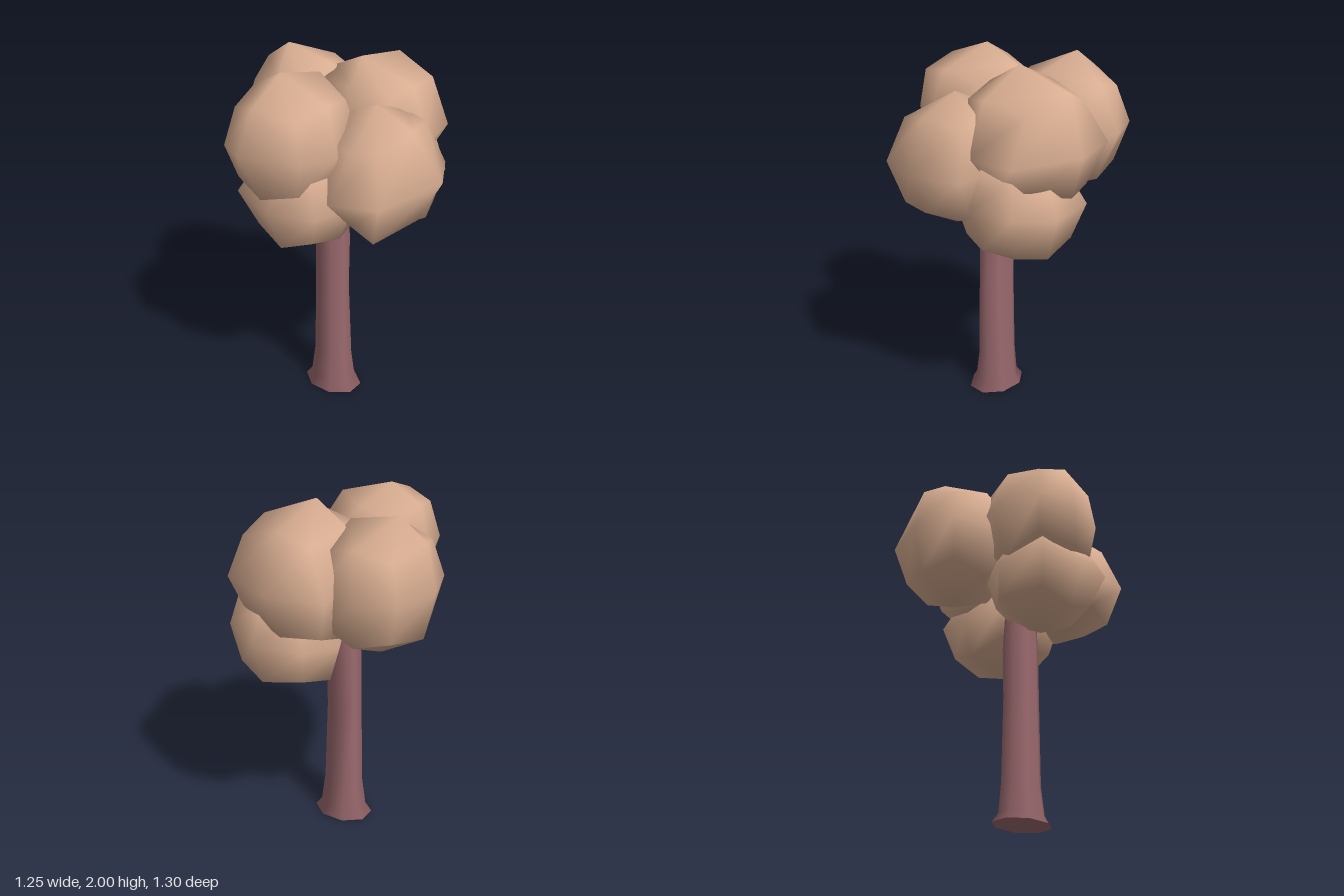
import * as THREE from 'three';
import { mergeVertices } from 'three/addons/utils/BufferGeometryUtils.js';

const foliage = new THREE.MeshStandardMaterial({ color: 0xd9ae92 });
foliage.name = 'foliage';
const bark = new THREE.MeshStandardMaterial({ color: 0x9d6b70 });
bark.name = 'bark';

// Lumpy leaf ball: a cube split once per side and rounded to an ellipsoid.
// Each lump [sx, sy, sz, x, y, z] moves the vertex on that side of the cube.
function leafBall(name, center, radii, lumps) {
  const box = new THREE.BoxGeometry(2, 2, 2, 2, 2, 2);
  box.deleteAttribute('normal');
  box.deleteAttribute('uv');
  const geo = mergeVertices(box);
  const pos = geo.attributes.position;
  const v = new THREE.Vector3();
  for (let i = 0; i < pos.count; i++) {
    v.fromBufferAttribute(pos, i).round();
    const lump = lumps.find(([x, y, z]) => x === v.x && y === v.y && z === v.z);
    if (lump) v.fromArray(lump, 3);
    else v.normalize().multiply(new THREE.Vector3(...radii)).add(new THREE.Vector3(...center));
    pos.setXYZ(i, v.x, v.y, v.z);
  }
  geo.computeVertexNormals();
  const mesh = new THREE.Mesh(geo, foliage);
  mesh.name = name;
  return mesh;
}

// Slightly bent, oval trunk with a flared foot
function trunk() {
  // each ring: height, centre x, half width in x, half depth in z, bulge at the back left
  const rings = [
    [0, -0.053, 0.127, 0.163, 1],
    [0.05, -0.053, 0.103, 0.127, 1],
    [0.22, -0.053, 0.083, 0.107, 1.3],
    [0.7, -0.061, 0.067, 0.097, 1.8],
    [1.0, -0.055, 0.074, 0.096, 1.7],
    [1.4, -0.05, 0.066, 0.08, 1],
  ];
  const last = rings.length - 1;
  const r = 1 / Math.cos(Math.PI / 8);
  const geo = new THREE.CylinderGeometry(r, r, last, 8, last, false, Math.PI / 8);
  const pos = geo.attributes.position;
  for (let i = 0; i < pos.count; i++) {
    const [y, cx, rx, rz, bulge] = rings[Math.round(pos.getY(i) + last / 2)];
    let x = pos.getX(i);
    let z = pos.getZ(i);
    if (x > 0.01 && z < -0.01) {
      if (x < -z) x *= bulge;
      else z *= bulge;
    }
    pos.setXYZ(i, cx + x * rx, y, -0.005 + z * rz);
  }
  const mesh = new THREE.Mesh(geo, bark);
  mesh.name = 'trunk';
  return mesh;
}

export function createModel() {
  const tree = new THREE.Group();
  tree.name = 'tree';
  const crown = new THREE.Group();
  crown.name = 'crown';
  crown.add(
    leafBall('upperRightFoliage', [-0.29, 1.66, -0.09], [0.35, 0.34, 0.34], [
      [-1, 0, 0, -0.63, 1.67, -0.16],
      [0, 1, 0, -0.28, 2.0, -0.16],
      [-1, 1, 0, -0.54, 1.9, -0.13],
      [1, 1, 0, -0.01, 1.93, -0.12],
      [-1, -1, 0, -0.56, 1.42, -0.08],
      [-1, 0, -1, -0.54, 1.65, -0.33],
      [0, 0, -1, -0.25, 1.65, -0.415],
      [1, 0, -1, -0.09, 1.66, -0.35],
      [-1, 0, 1, -0.51, 1.65, 0.14],
      [0, 0, 1, -0.33, 1.65, 0.23],
      [0, -1, -1, -0.29, 1.39, -0.33],
    ]),
    leafBall('upperLeftFoliage', [0.25, 1.64, 0.08], [0.36, 0.36, 0.35], [
      [0, 1, 0, 0.16, 2.0, 0.03],
      [1, 1, 0, 0.51, 1.925, 0.03],
      [1, 0, 0, 0.62, 1.62, 0.05],
      [1, 0, -1, 0.53, 1.61, -0.25],
      [1, 0, 1, 0.46, 1.6, 0.39],
      [0, 0, 1, 0.2, 1.6, 0.43],
      [0, 1, 1, 0.2, 1.88, 0.33],
      [0, 1, -1, 0.2, 1.89, -0.18],
      [-1, 1, -1, 0.04, 1.86, -0.17],
      [0, 0, -1, 0.2, 1.62, -0.26],
      [0, -1, -1, 0.25, 1.3, -0.18],
      [1, -1, 0, 0.53, 1.37, 0.02],
      [1, -1, -1, 0.45, 1.37, -0.18],
      [-1, 0, 1, 0.0, 1.65, 0.26],
    ]),
    leafBall('backFoliage', [0.14, 1.6, -0.33], [0.36, 0.37, 0.33], [
      [0, 0, -1, 0.13, 1.62, -0.65],
      [-1, 0, -1, -0.12, 1.61, -0.57],
      [1, 0, -1, 0.4, 1.61, -0.58],
      [0, 1, -1, 0.13, 1.87, -0.59],
      [0, -1, -1, 0.13, 1.35, -0.59],
      [1, 0, 0, 0.5, 1.61, -0.37],
      [0, 1, 0, 0.13, 1.98, -0.44],
      [0, -1, 0, 0.14, 1.22, -0.35],
      [0, 1, 1, 0.14, 1.92, -0.16],
    ]),
    leafBall('frontFoliage', [-0.07, 1.525, 0.3], [0.34, 0.34, 0.34], [
      [0, 0, 1, 0.0, 1.51, 0.65],
      [-1, 0, 1, -0.36, 1.46, 0.51],
      [0, 1, 1, -0.06, 1.775, 0.5],
      [1, 0, 1, 0.235, 1.5, 0.52],
      [0, -1, 1, -0.03, 1.27, 0.53],
      [-1, 0, 0, -0.4, 1.42, 0.22],
      [0, 1, 0, -0.06, 1.865, 0.28],
      [0, -1, 0, 0.02, 1.18, 0.35],
      [-1, 1, 0, -0.31, 1.69, 0.3],
      [-1, 1, 1, -0.28, 1.71, 0.44],
      [1, 1, 1, 0.16, 1.74, 0.44],
      [-1, -1, 1, -0.3, 1.22, 0.44],
      [1, -1, 1, 0.22, 1.28, 0.44],
    ]),
    leafBall('lowerLeftFoliage', [0.26, 1.3, 0.15], [0.32, 0.31, 0.32], [
      [0, -1, 0, 0.27, 0.98, 0.17],
      [1, -1, 0, 0.5, 1.06, 0.16],
      [-1, -1, 0, 0.03, 1.08, 0.12],
      [1, 0, 0, 0.57, 1.3, 0.17],
      [1, 1, 0, 0.5, 1.48, 0.16],
      [0, -1, 1, 0.26, 1.11, 0.4],
      [0, 0, 1, 0.26, 1.36, 0.47],
      [1, 0, 1, 0.46, 1.33, 0.39],
      [0, 1, 1, 0.26, 1.56, 0.4],
      [1, 1, 1, 0.42, 1.53, 0.34],
      [0, -1, -1, 0.26, 1.04, -0.11],
      [0, 0, -1, 0.26, 1.25, -0.17],
      [1, 0, -1, 0.52, 1.3, -0.11],
      [1, -1, -1, 0.46, 1.1, -0.06],
    ]),
    leafBall('lowerRightFoliage', [-0.25, 1.36, -0.03], [0.32, 0.31, 0.31], [
      [-1, 0, 0, -0.57, 1.35, -0.03],
      [-1, -1, 0, -0.47, 1.11, -0.03],
      [0, -1, 0, -0.22, 1.05, -0.01],
      [-1, 1, 0, -0.46, 1.5, -0.03],
      [-1, 0, 1, -0.495, 1.37, 0.22],
      [1, -1, 1, -0.05, 1.16, 0.15],
      [-1, 0, -1, -0.51, 1.39, -0.28],
      [0, -1, -1, -0.22, 1.16, -0.32],
      [0, 0, -1, -0.24, 1.34, -0.35],
    ]),
  );
  tree.add(trunk(), crown);
  return tree;
}
